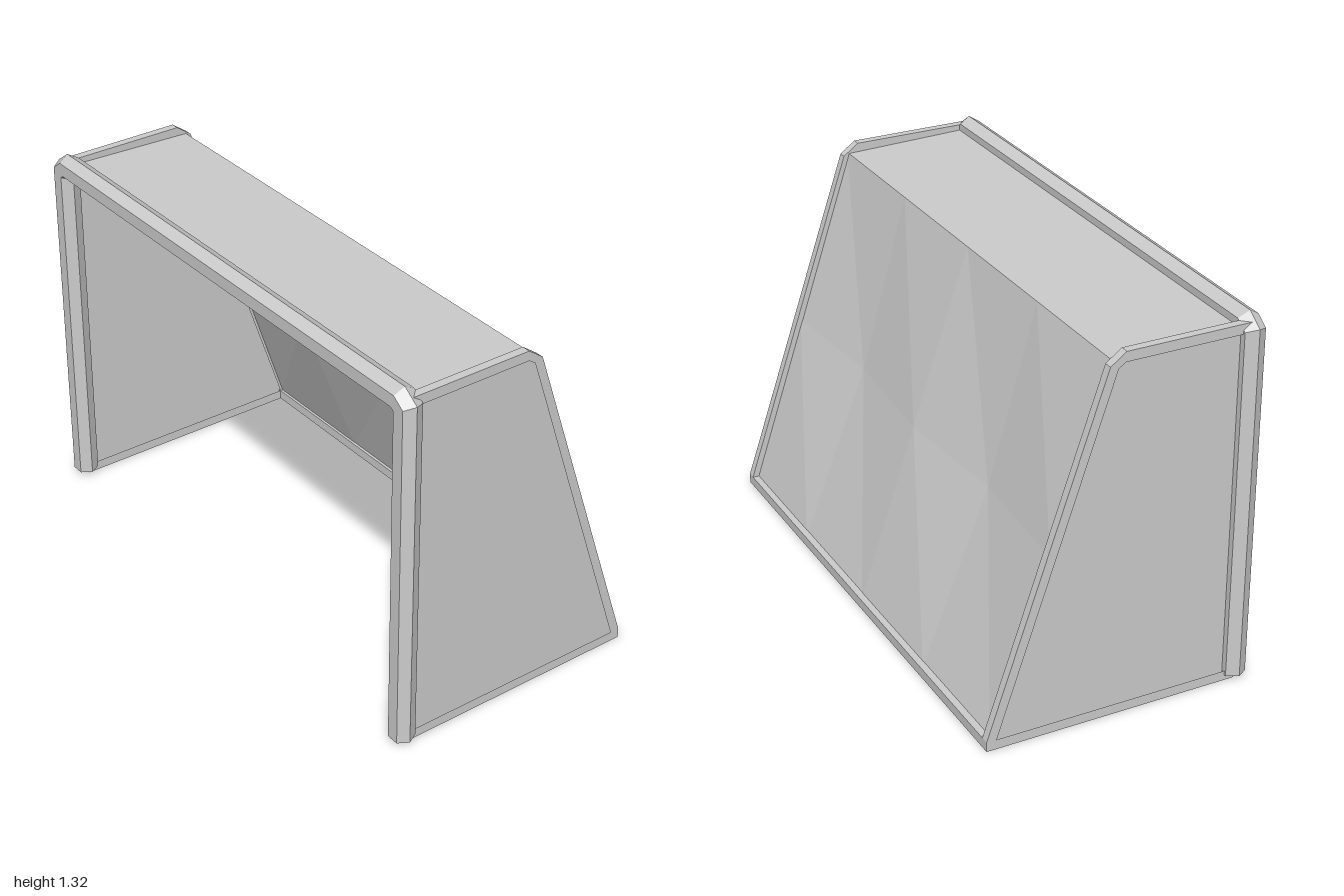
import * as THREE from 'three';

const material = new THREE.MeshStandardMaterial({ color: 0xcccccc, flatShading: true });
const netMaterial = new THREE.MeshStandardMaterial({ color: 0xcccccc, flatShading: true, side: THREE.DoubleSide });

const toShape = (points) => new THREE.Shape(points.map(([z, y]) => new THREE.Vector2(z, y)));

function addMesh(group, name, geometry, mat = material) {
  const mesh = new THREE.Mesh(geometry, mat);
  mesh.name = name;
  group.add(mesh);
  return mesh;
}

// Sweep a section (u = outward in xy, v = z) along a flat path with mitred corners
function sweep(path, section, z) {
  const pts = path.map(([x, y]) => new THREE.Vector2(x, y));
  const leftOf = (a, b) => {
    const d = b.clone().sub(a).normalize();
    return new THREE.Vector2(-d.y, d.x);
  };
  const rings = pts.map((p, k) => {
    const after = leftOf(...(k < pts.length - 1 ? [p, pts[k + 1]] : [pts[k - 1], p]));
    const before = k > 0 ? leftOf(pts[k - 1], p) : after;
    const mitre = before.clone().add(after).normalize();
    mitre.divideScalar(mitre.dot(after));
    return section.map(([u, v]) => [p.x + mitre.x * u, p.y + mitre.y * u, z + v]);
  });
  const out = [];
  const tri = (a, b, c) => out.push(...a, ...b, ...c);
  const n = section.length;
  for (let k = 0; k < rings.length - 1; k++) {
    for (let i = 0; i < n; i++) {
      const j = (i + 1) % n;
      tri(rings[k][i], rings[k][j], rings[k + 1][j]);
      tri(rings[k][i], rings[k + 1][j], rings[k + 1][i]);
    }
  }
  const first = rings[0], last = rings[rings.length - 1];
  for (let i = 1; i < n - 1; i++) {
    tri(first[0], first[i + 1], first[i]);
    tri(last[0], last[i], last[i + 1]);
  }
  const geometry = new THREE.BufferGeometry();
  geometry.setAttribute('position', new THREE.Float32BufferAttribute(out, 3));
  geometry.computeVertexNormals();
  return geometry;
}

export function createModel() {
  const goal = new THREE.Group();
  goal.name = 'goal';

  // Hexagonal posts and crossbar with chamfered upper corners
  const hexagon = [[0.045, 0], [0.023, 0.036], [-0.022, 0.036], [-0.045, 0], [-0.022, -0.039], [0.023, -0.039]];
  const half = [[0.955, 0.02], [0.955, 1.252], [0.927, 1.272]];
  const framePath = [...half.map(([x, y]) => [-x, y]), ...half.slice().reverse()];
  addMesh(goal, 'frontFrame', sweep(framePath, hexagon, 0.439));

  // Side frames: sloped outline with an opening, given as (z, y)
  const outer = [[0.435, 0], [-0.475, 0], [-0.475, 0.035], [-0.065, 1.25], [-0.01, 1.29], [0.435, 1.29]];
  const inner = [[0.4, 0.035], [-0.44, 0.035], [-0.036, 1.238], [-0.012, 1.255], [0.4, 1.255]];
  const frameShape = toShape(outer);
  frameShape.holes.push(toShape(inner));
  const sideFrame = new THREE.ExtrudeGeometry(frameShape, { depth: 0.03, bevelEnabled: false });
  sideFrame.rotateY(-Math.PI / 2);

  // Side nets lie in the middle of each side frame
  const netOutline = [[0.42, 0.017], [-0.457, 0.017], [-0.05, 1.245], [-0.012, 1.272], [0.42, 1.272]];
  const sideNet = new THREE.ShapeGeometry(toShape(netOutline));
  sideNet.rotateY(-Math.PI / 2);

  for (const [side, s] of [['left', 1], ['right', -1]]) {
    addMesh(goal, side + 'SideFrame', sideFrame).position.x = s > 0 ? 0.97 : -0.94;
    addMesh(goal, side + 'SideNet', sideNet, netMaterial).position.x = s * 0.955;
  }

  // Ground rail along the back
  const rail = addMesh(goal, 'backRail', new THREE.BoxGeometry(1.9, 0.035, 0.035));
  rail.position.set(0, 0.0175, -0.4575);

  // Roof net
  const foldY = 1.257, foldZ = -0.045;
  const roof = new THREE.PlaneGeometry(1.91, 1, 4, 1);
  const rp = roof.attributes.position;
  for (let i = 0; i < rp.count; i++) {
    const front = rp.getY(i) < 0;
    rp.setXYZ(i, rp.getX(i), front ? 1.27 : foldY, front ? 0.42 : foldZ);
  }
  roof.computeVertexNormals();
  addMesh(goal, 'roofNet', roof, netMaterial);

  // Sloping back net, sagging inwards at the quarter points of its middle row
  const back = new THREE.PlaneGeometry(1.91, 1, 4, 2);
  const bp = back.attributes.position;
  for (let i = 0; i < bp.count; i++) {
    const x = bp.getX(i), t = bp.getY(i) + 0.5;
    const sag = Math.abs(t - 0.5) < 0.1 && Math.abs(Math.abs(x) - 0.4775) < 0.1 ? 0.035 : 0;
    bp.setXYZ(i, x, THREE.MathUtils.lerp(0.017, foldY, t), THREE.MathUtils.lerp(-0.457, foldZ, t) + sag);
  }
  back.computeVertexNormals();
  addMesh(goal, 'backNet', back, netMaterial);

  return goal;
}
